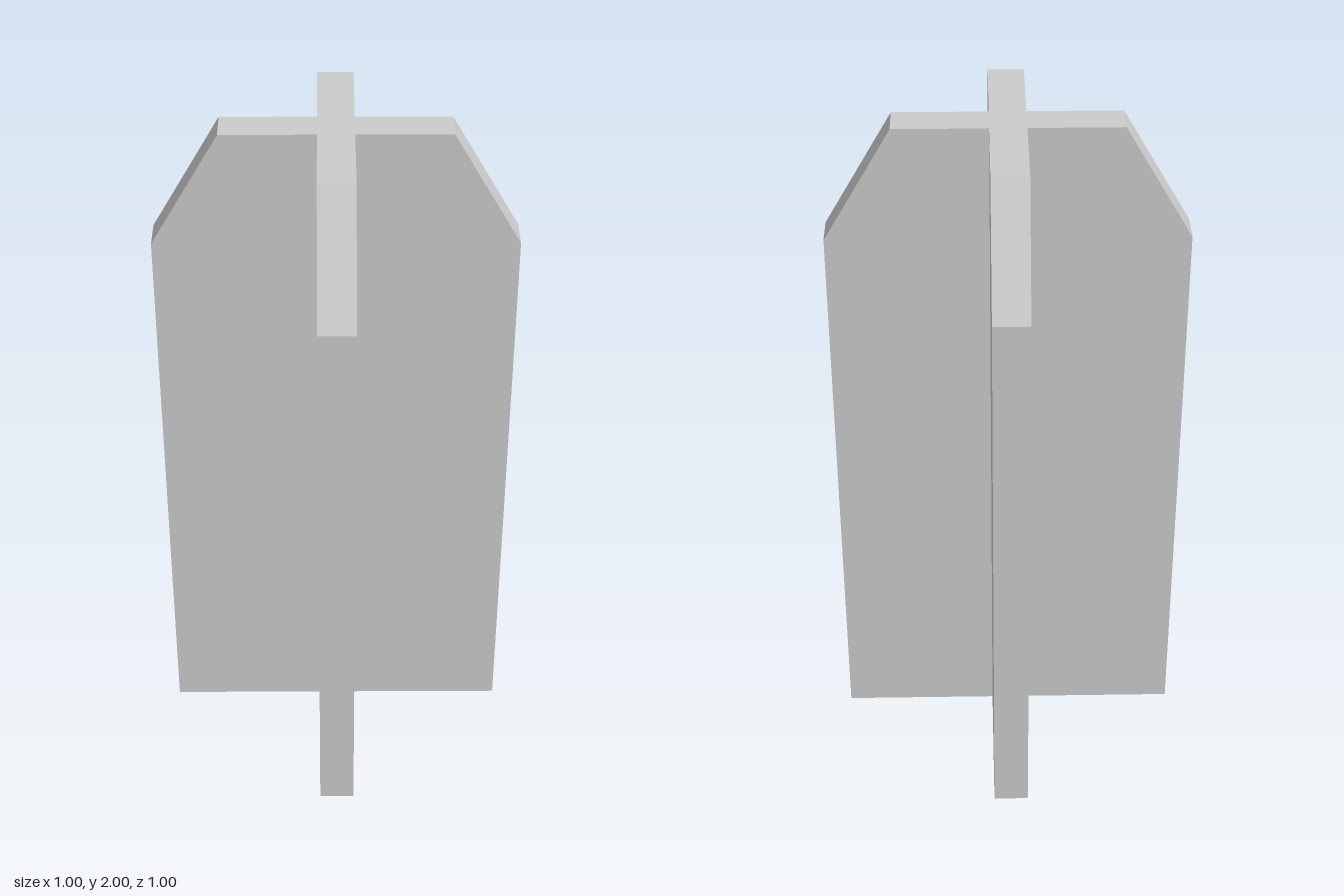
import * as THREE from 'three';

const HEIGHT = 2;      // full height
const SHOULDER = 1.67; // height where the fin ends start to slope
const REACH = 0.5;     // fin length from the axis
const TOP_REACH = 0.31; // fin length at the very top
const HALF = 0.05;     // half of the fin thickness

export function createModel() {
  const group = new THREE.Group();
  group.name = 'crossFinPost';

  // Plus-shaped outline: three corners per quarter turn, counter-clockwise
  const corners = [];
  for (let i = 0; i < 4; i++) {
    for (const [x, y] of [[REACH, -HALF], [REACH, HALF], [HALF, HALF]]) {
      corners.push(new THREE.Vector2(x, y).rotateAround(new THREE.Vector2(), i * Math.PI / 2));
    }
  }

  // Extrude upward in two steps: bottom, shoulder and top rings
  const geometry = new THREE.ExtrudeGeometry(new THREE.Shape(corners), {
    depth: HEIGHT, steps: 2, bevelEnabled: false,
  });
  geometry.rotateX(-Math.PI / 2);

  // Lift the middle ring to the shoulder and pull in the fin ends at the top
  const pos = geometry.attributes.position;
  const pullIn = (v) => (Math.abs(v) > TOP_REACH ? Math.sign(v) * TOP_REACH : v);
  for (let i = 0; i < pos.count; i++) {
    const y = pos.getY(i);
    if (y > HEIGHT * 0.75) {
      pos.setX(i, pullIn(pos.getX(i)));
      pos.setZ(i, pullIn(pos.getZ(i)));
    } else if (y > HEIGHT * 0.25) {
      pos.setY(i, SHOULDER);
    }
  }
  geometry.computeVertexNormals();

  const fins = new THREE.Mesh(
    geometry,
    new THREE.MeshStandardMaterial({ color: 0xcccccc, flatShading: true }),
  );
  fins.name = 'crossedFins';
  group.add(fins);
  return group;
}
